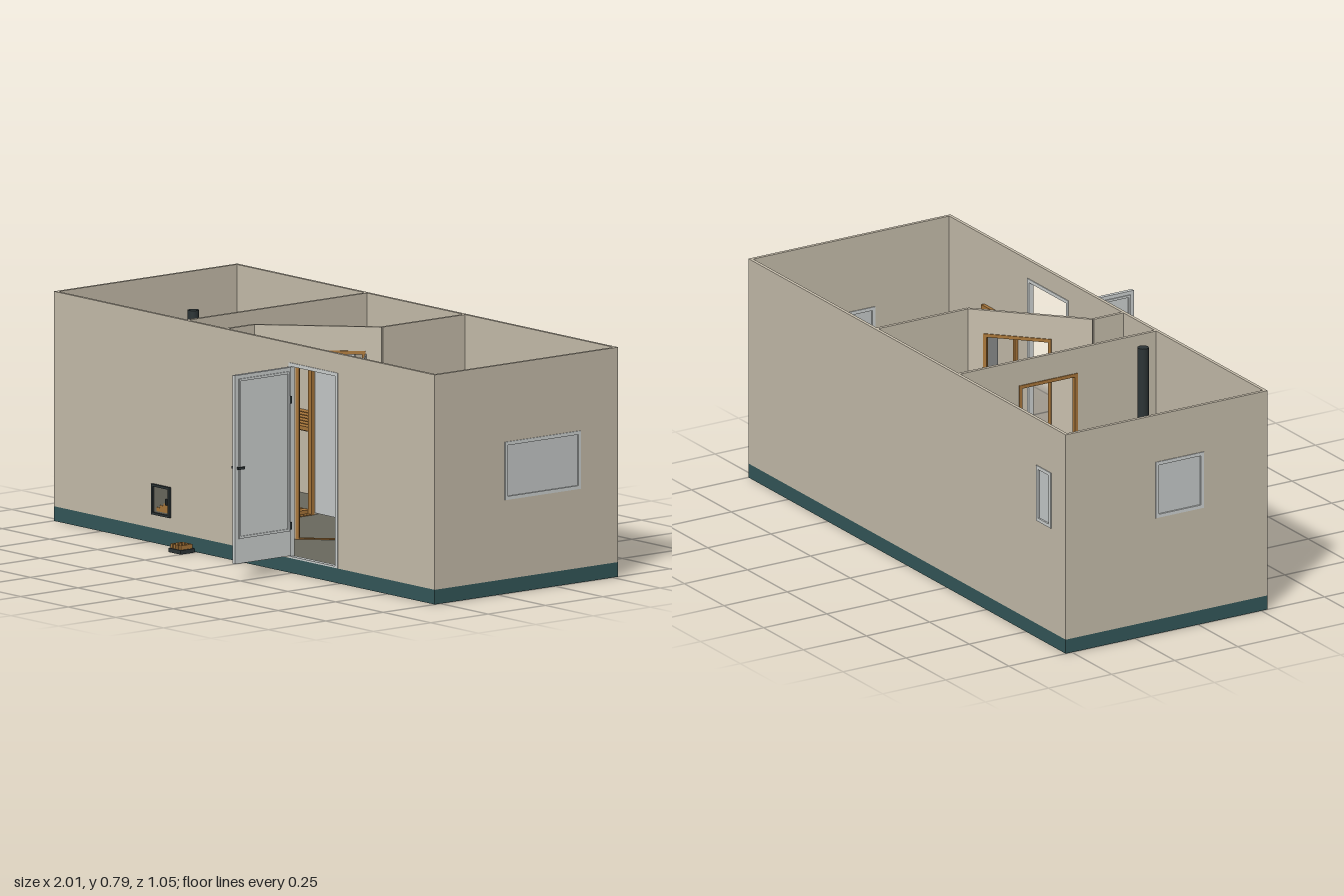
import * as THREE from 'three';
import { RoundedBoxGeometry } from 'three/addons/geometries/RoundedBoxGeometry.js';

const mat = (name, color, side = THREE.FrontSide) => {
  const m = new THREE.MeshStandardMaterial({ color, side });
  m.name = name;
  return m;
};

export function createModel() {
  const beige = mat('wallBeige', 0xc8bfad);
  const teal = mat('baseTeal', 0x34585a);
  const floorGrey = mat('floorGrey', 0x6a695e);
  const wood = mat('wood', 0xa8763a);
  const darkWood = mat('gapBrown', 0x5a4122);
  const iron = mat('iron', 0x2c3436);
  const white = mat('linenWhite', 0xe6e8e6);
  const trim = mat('trimGrey', 0xd0d4d3);
  const glass = mat('glassGrey', 0xc8cccc, THREE.DoubleSide);
  const stone = mat('stoneGrey', 0x4a4f50);

  const model = new THREE.Group();
  model.name = 'saunaHouse';

  const add = (name, geo, m, x, y, z, parent = model) => {
    const mesh = new THREE.Mesh(geo, m);
    mesh.name = name;
    mesh.position.set(x, y, z);
    parent.add(mesh);
    return mesh;
  };
  // Box given by its limits on each axis
  const box = (name, m, x0, x1, y0, y1, z0, z1, parent = model) =>
    add(name, new THREE.BoxGeometry(x1 - x0, y1 - y0, z1 - z0), m, (x0 + x1) / 2, (y0 + y1) / 2, (z0 + z1) / 2, parent);
  const cyl = (name, m, r0, r1, h, x, y, z, parent = model, seg = 20) =>
    add(name, new THREE.CylinderGeometry(r0, r1, h, seg), m, x, y + h / 2, z, parent);
  const subgroup = (name, parent = model) => {
    const g = new THREE.Group();
    g.name = name;
    parent.add(g);
    return g;
  };

  const rect = (Type, x0, x1, y0, y1) =>
    new Type([[x0, y0], [x1, y0], [x1, y1], [x0, y1]].map(p => new THREE.Vector2(...p)));
  // Plate with rectangular holes, centred on its thickness
  const plate = (outer, holes, depth) => {
    const s = rect(THREE.Shape, ...outer);
    holes.forEach(h => s.holes.push(rect(THREE.Path, ...h)));
    return new THREE.ExtrudeGeometry(s, { depth, bevelEnabled: false }).translate(0, 0, -depth / 2);
  };
  // Group whose x axis runs from one floor point to another
  const along = (name, [x0, z0], [x1, z1]) => {
    const g = subgroup(name);
    g.position.set(x0, 0, z0);
    g.rotation.y = Math.atan2(z0 - z1, x1 - x0);
    g.userData.length = Math.hypot(x1 - x0, z1 - z0);
    return g;
  };

  // Base and floor
  box('base', teal, -1, 1, 0, 0.05, -0.525, 0.275);
  box('floor', floorGrey, -0.99, 0.99, 0.05, 0.054, -0.515, 0.265);

  // Walls with framed openings: [start, end, bottom, top, frame material, glazed]
  const wall = (name, from, to, openings = []) => {
    const g = along(name, from, to);
    const holes = openings.map(([a, b, c, d]) => [a + 0.004, b - 0.004, c + 0.004, d - 0.004]);
    add('wallPanel', plate([0, g.userData.length, 0.05, 0.783], holes, 0.012), beige, 0, 0, 0, g);
    openings.forEach(([a, b, c, d, m, glazed]) => {
      const w = 0.012;
      add('openingFrame', plate([a, b, c, d], [[a + w, b - w, c + (glazed ? w : 0.006), d - w]], 0.018), m, 0, 0, 0, g);
      if (glazed) box('windowPane', glass, a + w, b - w, c + w, d - w, -0.003, 0.003, g);
    });
    return g;
  };
  wall('frontWall', [-1, 0.269], [1, 0.269], [[1.235, 1.492, 0.051, 0.717, trim, false]]);
  wall('backWall', [1, -0.519], [-1, -0.519], [[1.817, 1.91, 0.42, 0.618, trim, true]]);
  wall('leftWall', [0.994, 0.263], [0.994, -0.513], [[0.293, 0.624, 0.32, 0.518, trim, true]]);
  wall('rightWall', [-0.994, -0.513], [-0.994, 0.263], [[0.343, 0.535, 0.415, 0.615, trim, true]]);
  wall('saunaPartition', [-0.311, -0.513], [-0.311, 0.263], [[0.232, 0.465, 0.051, 0.695, wood, false]]);
  wall('washroomPartition', [0.205, -0.513], [0.205, -0.155]);
  wall('diagonalPartition', [0.205, -0.155], [-0.105, 0.145], [[0.055, 0.29, 0.051, 0.7, wood, false]]);
  wall('cornerPartition', [-0.105, 0.145], [-0.105, 0.263]);

  // Open front door
  const door = subgroup('frontDoor');
  box('doorLeaf', trim, 0.237, 0.251, 0.06, 0.703, 0.28, 0.523, door);
  for (const x of [0.236, 0.252]) {
    const rim = add('doorMoulding', plate([-0.508, -0.287, 0.145, 0.69], [[-0.5, -0.295, 0.153, 0.682]], 0.006), trim, x, 0, 0, door);
    rim.rotation.y = Math.PI / 2;
  }
  box('doorHandle', iron, 0.227, 0.261, 0.382, 0.39, 0.508, 0.515, door);
  for (const x of [0.225, 0.257]) box('doorLever', iron, x, x + 0.006, 0.382, 0.39, 0.49, 0.518, door);
  for (const y of [0.15, 0.58]) cyl('doorHinge', iron, 0.004, 0.004, 0.025, 0.252, y, 0.281, door, 8);

  // Open glass doors
  const glassDoor = (name, from, to) => {
    const g = along(name, from, to), L = g.userData.length;
    box('glassLeaf', glass, 0, L, 0.06, 0.69, -0.002, 0.002, g);
    for (const s of [-1, 1]) box('woodHandle', wood, L - 0.035, L - 0.023, 0.36, 0.415, s * 0.009 - 0.006, s * 0.009 + 0.006, g);
  };
  glassDoor('saunaGlassDoor', [-0.302, -0.287], [-0.09, -0.283]);
  glassDoor('diagonalGlassDoor', [0.172, -0.112], [0.325, 0.037]);

  // Row of slats filling a rectangle
  const slats = (g, x0, x1, z0, z1, y, t, n, alongX, gap = 0.006) => {
    const p = ((alongX ? z1 - z0 : x1 - x0) + gap) / n;
    for (let i = 0; i < n; i++) {
      if (alongX) box('slat', wood, x0, x1, y - t, y, z0 + i * p, z0 + (i + 1) * p - gap, g);
      else box('slat', wood, x0 + i * p, x0 + (i + 1) * p - gap, y - t, y, z0, z1, g);
    }
  };
  // Slatted bench with cross battens and legs
  const bench = (name, x0, x1, z0, z1, y, n, alongX = true, gap) => {
    const g = subgroup(name), t = 0.014, w = 0.02, e = 0.012;
    slats(g, x0, x1, z0, z1, y, t, n, alongX, gap);
    box('underside', darkWood, x0 + e, x1 - e, y - t - 0.005, y - t, z0 + e, z1 - e, g);
    for (const x of [x0 + e, x1 - e - w]) {
      box('batten', wood, x, x + w, y - t - 0.025, y - t - 0.005, z0 + e, z1 - e, g);
      for (const z of [z0 + e, z1 - e - w]) box('leg', wood, x, x + w, 0.054, y - t - 0.025, z, z + w, g);
    }
    return g;
  };

  // Sauna benches and floor boards
  bench('upperSideBench', -0.985, -0.75, -0.51, 0.26, 0.34, 7, false);
  bench('upperBackBench', -0.745, -0.32, -0.51, -0.31, 0.34, 6);
  bench('lowerBench', -0.745, -0.645, -0.3, 0.26, 0.2, 2, false);
  const duck = subgroup('floorBoards');
  box('boardBase', darkWood, -0.64, -0.32, 0.054, 0.058, -0.3, 0.26, duck);
  for (let i = 0; i < 4; i++) slats(duck, -0.64, -0.32, -0.28 + i * 0.133, -0.15 + i * 0.133, 0.07, 0.012, 9, false);

  // Stove with stones, chimney and fire tunnel
  const stove = subgroup('stove');
  box('stoveBody', iron, -0.505, -0.36, 0.07, 0.29, 0.07, 0.205, stove);
  for (const x of [-0.5, -0.38]) for (const z of [0.075, 0.185]) box('stoveFoot', iron, x, x + 0.015, 0.054, 0.07, z, z + 0.015, stove);
  for (let i = 0; i < 6; i++) for (let j = 0; j < 5; j++) {
    const s = add('stone', new THREE.IcosahedronGeometry(0.011 + ((i * 7 + j * 3) % 4) * 0.001, 0), stone,
      -0.49 + i * 0.023, 0.293, 0.09 + j * 0.024, stove);
    s.rotation.set(i, j, i + j);
  }
  cyl('chimney', iron, 0.019, 0.019, 0.495, -0.43, 0.29, 0.14, stove);
  box('fireTunnel', iron, -0.475, -0.39, 0.09, 0.21, 0.205, 0.263, stove);
  add('fireDoorFrame', plate([-0.48, -0.385, 0.098, 0.202], [[-0.472, -0.393, 0.106, 0.194]], 0.01), iron, 0, 0, 0.279, stove);
  box('fireDoorPane', floorGrey, -0.472, -0.393, 0.106, 0.194, 0.275, 0.277, stove);
  [0, 1, 2].forEach(i => box('fireLog', wood, -0.455 + i * 0.018, -0.43 + i * 0.018, 0.112, 0.125 + i * 0.009, 0.277, 0.28, stove));
  box('fireDoorLatch', iron, -0.402, -0.396, 0.14, 0.16, 0.28, 0.287, stove);

  // Steel bucket with ladle
  const bucket = (name, m, x, y, z, r) => {
    const g = subgroup(name);
    const pts = [[0, 0], [r * 0.8, 0], [r, 0.06], [r * 0.88, 0.06], [r * 0.72, 0.01], [0, 0.01]].map(p => new THREE.Vector2(...p));
    add('pail', new THREE.LatheGeometry(pts, 24), m, x, y, z, g);
    add('pailHandle', new THREE.TorusGeometry(r * 0.93, 0.003, 6, 20, Math.PI), m, x, y + 0.058, z, g);
    const ladle = cyl('ladleHandle', m, 0.003, 0.003, 0.1, x + 0.02, y + 0.02, z, g, 8);
    ladle.rotation.z = -0.5;
    cyl('ladleCup', m, 0.014, 0.011, 0.015, x, y + 0.015, z, g, 12);
  };
  bucket('steelBucket', iron, -0.87, 0.34, -0.295, 0.04);

  // Washroom benches, towels and wooden tub
  bench('washBench', -0.14, 0.19, -0.505, -0.39, 0.2, 4);
  box('towel', white, 0.035, 0.12, 0.2, 0.215, -0.485, -0.41);
  bench('cornerBench', -0.298, -0.115, 0.145, 0.255, 0.2, 3);
  box('cornerTowel', white, -0.21, -0.135, 0.2, 0.215, 0.165, 0.23);
  bucket('woodTub', wood, -0.245, 0.2, 0.2, 0.046);

  // Changing room furniture
  box('cabinet', wood, -0.085, 0.05, 0.054, 0.22, 0.155, 0.26);
  bench('backBench', 0.25, 0.98, -0.51, -0.4, 0.2, 4);
  bench('frontBench', 0.432, 0.98, -0.178, -0.065, 0.2, 4);
  bench('table', 0.432, 0.98, -0.383, -0.198, 0.3, 5, true, 0.003);
  for (const [x, z] of [[0.395, -0.455], [0.83, -0.455], [0.54, -0.122], [0.868, -0.122]])
    add('pillow', new RoundedBoxGeometry(0.13, 0.045, 0.08, 4, 0.021), white, x, 0.222, z);

  // Teapot and cups
  const tea = subgroup('teaSet');
  const pot = add('teapot', new THREE.SphereGeometry(0.024, 20, 14), trim, 0.705, 0.32, -0.288, tea);
  pot.scale.y = 0.9;
  cyl('potLid', iron, 0.008, 0.012, 0.006, 0.705, 0.338, -0.288, tea);
  const spout = cyl('spout', trim, 0.003, 0.006, 0.03, 0.732, 0.312, -0.288, tea, 10);
  spout.rotation.z = -0.8;
  for (const [x, z] of [[0.67, -0.26], [0.74, -0.255], [0.705, -0.245]]) cyl('cup', white, 0.011, 0.008, 0.018, x, 0.3, z, tea, 14);

  // Coat rack on the inside of the front wall
  const rack = subgroup('coatRack');
  add('rackFrame', plate([0.55, 0.765, 0.33, 0.54], [[0.565, 0.75, 0.345, 0.5]], 0.012), wood, 0, 0, 0.255, rack);
  for (let i = 0; i < 5; i++) box('peg', wood, 0.575 + i * 0.04, 0.585 + i * 0.04, 0.5, 0.51, 0.232, 0.25, rack);

  // Boot scraper outside
  const scraper = subgroup('bootScraper');
  box('scraperTray', iron, -0.313, -0.25, 0, 0.014, 0.285, 0.345, scraper);
  for (let i = 0; i < 4; i++) box('scraperSlat', wood, -0.308 + i * 0.0145, -0.298 + i * 0.0145, 0.014, 0.029, 0.29, 0.34, scraper);

  return model;
}
